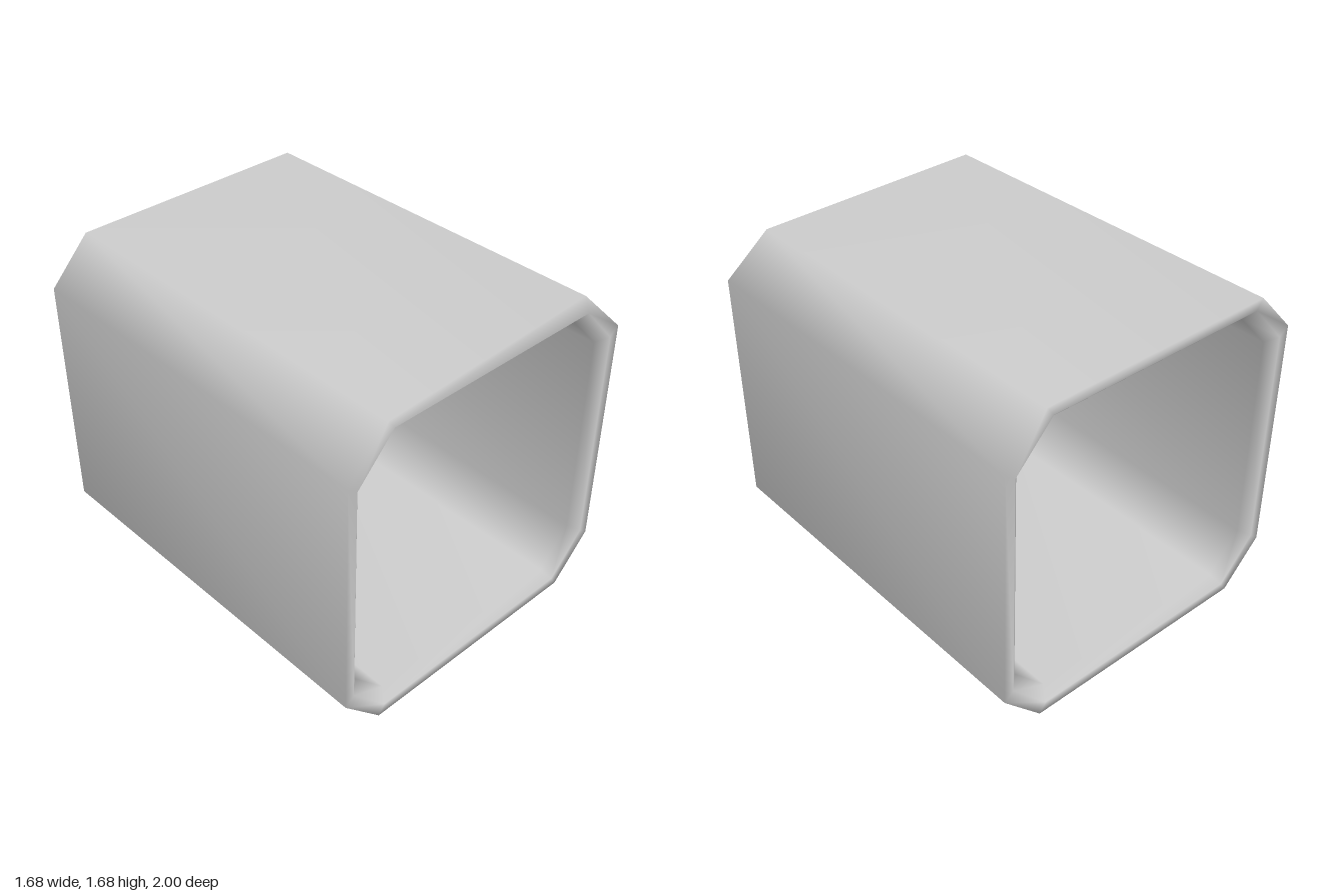
import * as THREE from 'three';

const CENTRE_Y = 0.84;

// Octagon with long sides and short cut corners, counter-clockwise from the front
function octagon(half, flatX, flatY, z) {
  return [
    [half, -flatY], [half, flatY], [flatX, half], [-flatX, half],
    [-half, flatY], [-half, -flatY], [-flatX, -half], [flatX, -half],
  ].map(([x, y]) => new THREE.Vector3(x, y + CENTRE_Y, z));
}

// Joins closed rings into a loop of smooth-shaded bands, last ring back to first
function bandLoop(rings) {
  const sides = rings[0].length;
  const index = [];
  for (let r = 0; r < rings.length; r++) {
    const next = (r + 1) % rings.length;
    for (let i = 0; i < sides; i++) {
      const j = (i + 1) % sides;
      const a = r * sides + i, b = r * sides + j;
      const c = next * sides + j, d = next * sides + i;
      index.push(a, b, c, a, c, d);
    }
  }
  const geometry = new THREE.BufferGeometry().setFromPoints(rings.flat());
  geometry.setIndex(index);
  geometry.computeVertexNormals();
  return geometry;
}

export function createModel() {
  const model = new THREE.Group();
  model.name = 'octagonalTube';

  // Outer wall, rim ridge and slightly recessed inner wall
  const outer = (z) => octagon(0.84, 0.63, 0.62, z);
  const ridge = (z) => octagon(0.79, 0.595, 0.58, z);
  const inner = (z) => octagon(0.74, 0.56, 0.55, z);

  const frontOuter = outer(1);
  frontOuter[2].z = 0.95; // small dent in the upper left corner of the front rim

  const tube = new THREE.Mesh(
    bandLoop([frontOuter, ridge(1), inner(0.95), inner(-0.95), ridge(-1), outer(-1)]),
    new THREE.MeshStandardMaterial({ color: 0xcccccc })
  );
  tube.name = 'tubeWall';
  model.add(tube);
  return model;
}
